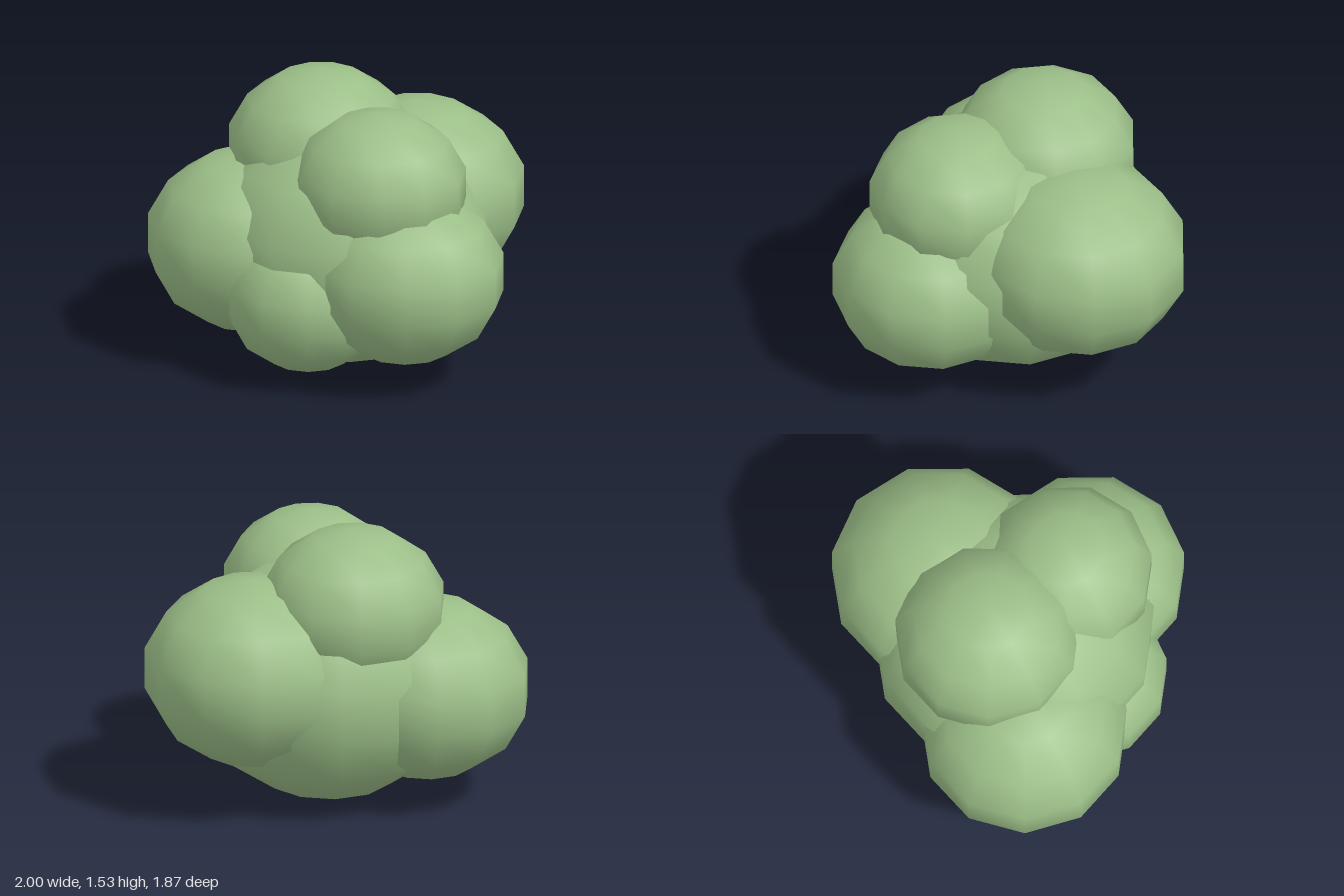
import * as THREE from 'three';

// Leafy clumps: name, centre, radii
const CLUMPS = [
  ['core', [0, 0.667, 0.09], [0.77, 0.664, 0.77]],
  ['backClump', [0.105, 0.78, -0.385], [0.585, 0.507, 0.59]],
  ['rightClump', [-0.46, 0.63, 0.355], [0.56, 0.485, 0.56]],
  ['leftClump', [0.48, 0.597, 0.295], [0.54, 0.462, 0.535]],
  ['upperRightClump', [-0.22, 1.1, 0.04], [0.503, 0.437, 0.505]],
  ['upperLeftClump', [0.29, 1.045, 0.26], [0.48, 0.415, 0.467]],
  ['frontClump', [0, 0.447, 0.495], [0.455, 0.397, 0.452]],
];

export function createModel() {
  const bush = new THREE.Group();
  bush.name = 'bush';
  const foliage = new THREE.MeshStandardMaterial({ color: 0x9cbf88 });
  // Coarse smooth sphere, 11 sides, with a corner pointing to the front
  const ball = new THREE.SphereGeometry(1, 11, 7, Math.PI / 2);

  for (const [name, centre, radii] of CLUMPS) {
    const clump = new THREE.Mesh(ball, foliage);
    clump.name = name;
    clump.position.set(...centre);
    clump.scale.set(...radii);
    bush.add(clump);
  }
  return bush;
}
